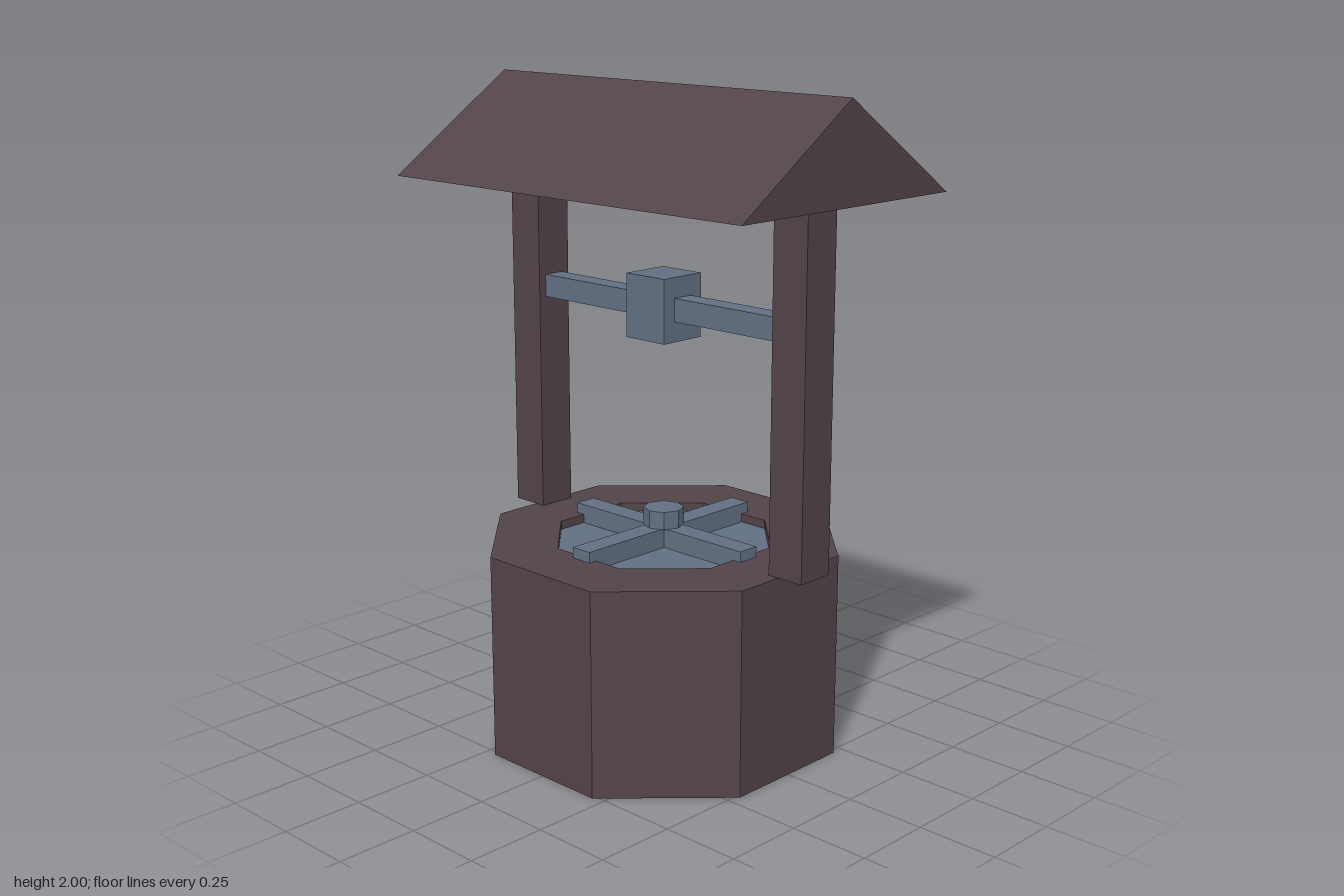
import * as THREE from 'three';

export function createModel() {
  const model = new THREE.Group();
  model.name = 'well';

  const brown = new THREE.MeshStandardMaterial({ color: 0x524449, flatShading: true });
  brown.name = 'dark brown';
  const slate = new THREE.MeshStandardMaterial({ color: 0x627083, flatShading: true });
  slate.name = 'slate blue';

  const add = (name, geometry, material, x = 0, y = 0, z = 0) => {
    const mesh = new THREE.Mesh(geometry, material);
    mesh.name = name;
    mesh.position.set(x, y, z);
    model.add(mesh);
    return mesh;
  };
  const box = (name, w, h, d, material, x, y, z) =>
    add(name, new THREE.BoxGeometry(w, h, d), material, x, y, z);

  // Octagonal wall with a shallow round recess in its top
  const outer = 0.557, inner = 0.345, rim = 0.632, lidY = 0.605;
  const profile = [[0, 0], [outer, 0], [outer, rim], [inner, rim], [inner, lidY]]
    .map(([r, y]) => new THREE.Vector2(r, y));
  add('wall', new THREE.LatheGeometry(profile, 8, Math.PI / 8), brown);

  // Lid sunk in the recess
  const lid = add('lid', new THREE.CircleGeometry(inner, 8, Math.PI / 8), slate, 0, lidY, 0);
  lid.rotation.x = -Math.PI / 2;

  // Crossed bars and knob on the lid
  const barH = 0.06, barY = 0.665 - barH / 2;
  box('lidBar', 0.695, barH, 0.07, slate, 0, barY, 0);
  for (const s of [1, -1]) box('lidCrossBar', 0.07, barH, 0.3125, slate, 0, barY, s * 0.19125);
  const knob = new THREE.CylinderGeometry(0.062, 0.062, 0.055, 8);
  add('lidKnob', knob, slate, 0, 0.6925, 0);

  // Posts stand on the rim and overhang it slightly
  for (const s of [1, -1]) box('post', 0.122, 1.708 - rim, 0.122, brown, s * 0.541, (1.708 + rim) / 2, 0);

  // Winding axle in two halves with a square drum between them
  for (const s of [1, -1]) box('axle', 0.402, 0.07, 0.07, slate, s * 0.279, 1.347, 0);
  box('drum', 0.156, 0.194, 0.156, slate, 0, 1.347, 0);

  // Solid gabled roof with its ridge along x
  const gable = new THREE.Shape();
  gable.moveTo(-0.434, 1.708);
  gable.lineTo(0.434, 1.708);
  gable.lineTo(0, 2);
  gable.closePath();
  const roof = new THREE.ExtrudeGeometry(gable, { depth: 1.392, bevelEnabled: false });
  roof.translate(0, 0, -0.696);
  roof.rotateY(Math.PI / 2);
  add('roof', roof, brown);

  return model;
}
